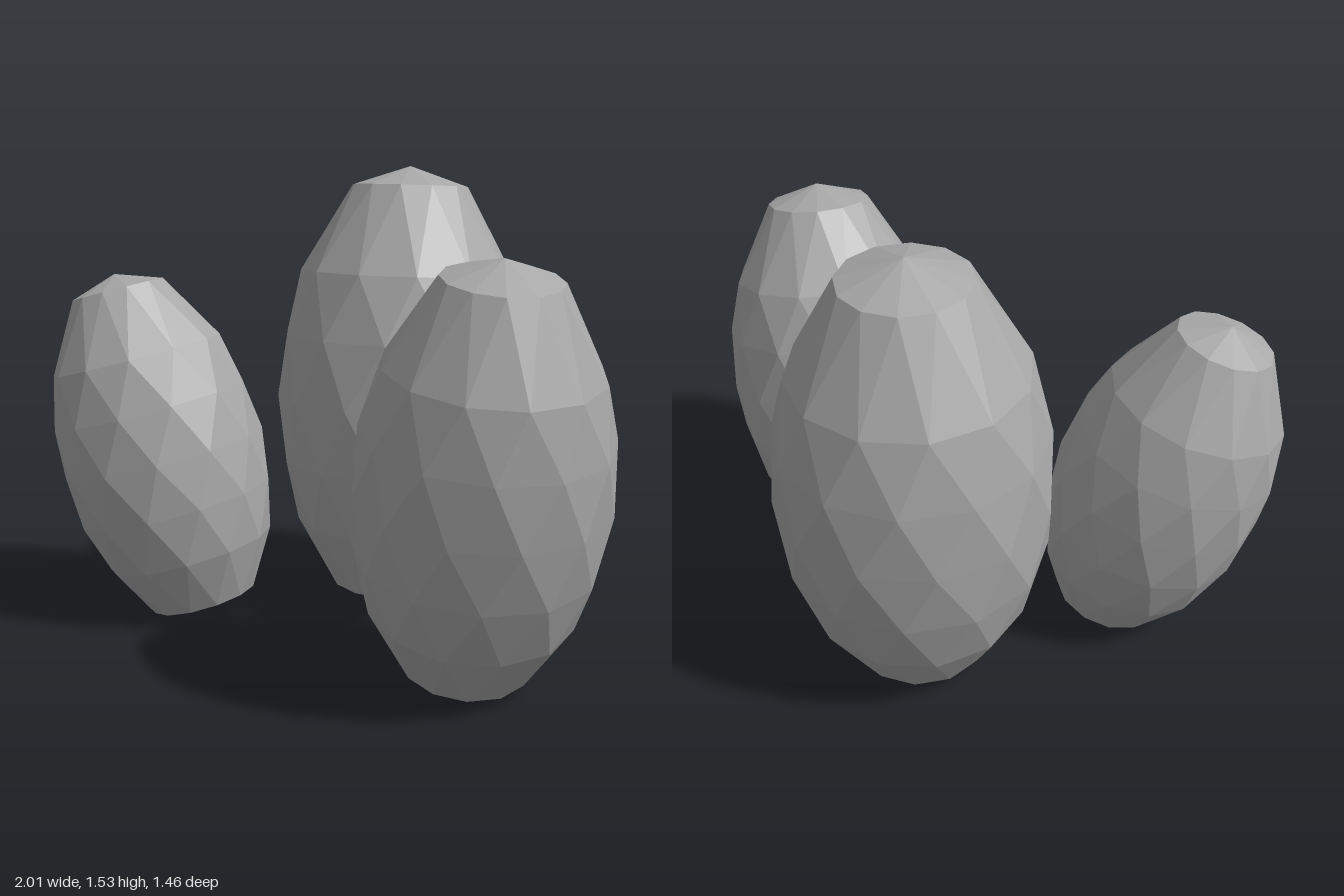
import * as THREE from 'three';

const SIDES = 12;
// rings of a unit-length egg: [height, radius]
const RINGS = [
  [0, 0.155], [0.155, 0.245], [0.305, 0.287], [0.455, 0.299],
  [0.605, 0.288], [0.755, 0.25], [0.955, 0.136],
];

// Faceted egg with alternately twisted rings, a flat base and a shallow pointed cap
function eggGeometry() {
  const pos = [], index = [];
  RINGS.forEach(([y, r], i) => {
    for (let j = 0; j < SIDES; j++) {
      const a = (j / SIDES) * Math.PI * 2 + (i % 2 ? 0.24 : 0);
      pos.push(Math.sin(a) * r, y, Math.cos(a) * r);
    }
  });
  const bottom = pos.length / 3, top = bottom + 1;
  pos.push(0, 0, 0, 0, 1, 0);
  const last = (RINGS.length - 1) * SIDES;
  for (let j = 0; j < SIDES; j++) {
    const k = (j + 1) % SIDES;
    for (let i = 0; i < RINGS.length - 1; i++) {
      const a = i * SIDES + j, b = i * SIDES + k;
      const c = b + SIDES, d = a + SIDES;
      // split along the shorter diagonal
      if (i % 2) index.push(a, b, c, a, c, d);
      else index.push(a, b, d, b, c, d);
    }
    index.push(bottom, k, j, last + j, last + k, top);
  }
  const g = new THREE.BufferGeometry();
  g.setAttribute('position', new THREE.Float32BufferAttribute(pos, 3));
  g.setIndex(index);
  const flat = g.toNonIndexed();
  flat.computeVertexNormals();
  return flat;
}

export function createModel() {
  const group = new THREE.Group();
  group.name = 'eggCluster';
  const shell = new THREE.MeshStandardMaterial({ color: 0xa8a8a8, flatShading: true });
  shell.name = 'grey shell';
  const geometry = eggGeometry();

  // Each egg leans along the line from its base centre to its tip
  const addEgg = (name, base, tip, spin) => {
    const from = new THREE.Vector3(...base);
    const axis = new THREE.Vector3(...tip).sub(from);
    const egg = new THREE.Mesh(geometry, shell);
    egg.name = name;
    egg.position.copy(from);
    egg.scale.setScalar(axis.length());
    egg.quaternion.setFromUnitVectors(new THREE.Vector3(0, 1, 0), axis.normalize());
    egg.rotateY(spin);
    group.add(egg);
  };
  addEgg('tallBackEgg', [-0.115, 0.05, -0.265], [-0.128, 1.53, -0.34], 0.05);
  addEgg('leftEgg', [0.53, 0.045, 0.14], [0.745, 1.3, 0.265], 0.2);
  addEgg('rightEgg', [-0.51, 0.042, 0.31], [-0.775, 1.17, 0.45], 0.1);
  return group;
}
